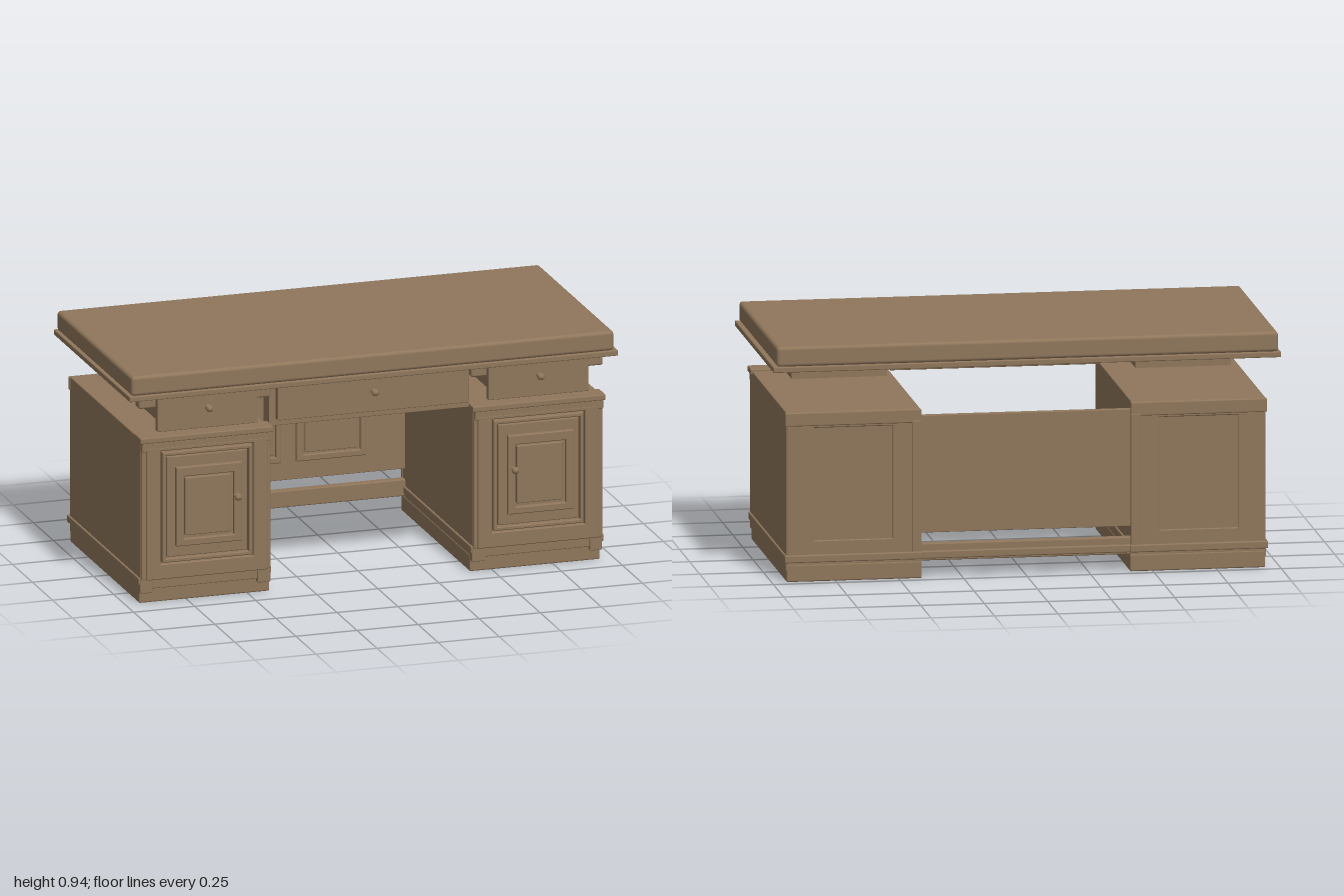
import * as THREE from 'three';
import { RoundedBoxGeometry } from 'three/addons/geometries/RoundedBoxGeometry.js';

export function createModel() {
  const desk = new THREE.Group();
  desk.name = 'desk';
  const wood = new THREE.MeshStandardMaterial({ color: 0x8f765b });
  wood.name = 'walnut brown';

  function add(name, geometry, parent = desk) {
    const mesh = new THREE.Mesh(geometry, wood);
    mesh.name = name;
    parent.add(mesh);
    return mesh;
  }

  // Block given by its limits, with softly rounded edges (r = 0 for sharp)
  function block(name, [x0, x1], [y0, y1], [z0, z1], r = 0.004, parent = desk) {
    const w = x1 - x0, h = y1 - y0, d = z1 - z0;
    const g = r > 0 ? new RoundedBoxGeometry(w, h, d, 2, r) : new THREE.BoxGeometry(w, h, d);
    g.translate((x0 + x1) / 2, (y0 + y1) / 2, (z0 + z1) / 2);
    return add(name, g, parent);
  }

  // Rectangular frame in the xy plane: outer limits, inner limits, z limits
  function frame(name, [ox0, ox1], [oy0, oy1], [ix0, ix1], [iy0, iy1], [z0, z1], parent = desk) {
    const b = 0.003;
    const rect = (P, x0, x1, y0, y1) => new P()
      .moveTo(x0, y0).lineTo(x1, y0).lineTo(x1, y1).lineTo(x0, y1).closePath();
    const shape = rect(THREE.Shape, ox0 + b, ox1 - b, oy0 + b, oy1 - b);
    shape.holes.push(rect(THREE.Path, ix0 - b, ix1 + b, iy0 - b, iy1 + b));
    const g = new THREE.ExtrudeGeometry(shape, {
      depth: z1 - z0 - 2 * b, bevelThickness: b, bevelSize: b, bevelSegments: 1,
    });
    g.translate(0, 0, z0 + b);
    return add(name, g, parent);
  }

  // Turned knob pointing to +z
  function knob(name, x, y, z, parent = desk) {
    const profile = [[0, 0], [0.011, 0], [0.011, 0.004], [0.006, 0.009], [0.006, 0.014],
      [0.011, 0.018], [0.0145, 0.026], [0.0125, 0.034], [0.007, 0.039], [0, 0.041]]
      .map(([r, h]) => new THREE.Vector2(r, h));
    const g = new THREE.LatheGeometry(profile, 20);
    g.rotateX(Math.PI / 2);
    g.translate(x, y, z);
    return add(name, g, parent);
  }

  // Table top and the thin lip below it
  block('tableTop', [-0.99, 0.985], [0.86, 0.94], [-0.492, 0.446], 0.014);
  block('tableTopLip', [-1, 1], [0.84, 0.862], [-0.5, 0.452], 0.004);

  // Centre drawer and the apron behind it
  block('centreDrawerFront', [-0.39, 0.39], [0.705, 0.842], [0.41, 0.44], 0.003);
  knob('centreDrawerKnob', 0, 0.79, 0.44);
  block('centreApron', [-0.41, 0.41], [0.67, 0.842], [0.322, 0.39], 0.003);

  // Each side: pedestal with door, drawer above it. Inner side at low |x|.
  for (const s of [-1, 1]) {
    const side = new THREE.Group();
    side.name = s > 0 ? 'leftPedestal' : 'rightPedestal';
    desk.add(side);
    const X = (a, b) => (s > 0 ? [a, b] : [-b, -a]);
    const part = (name, x, y, z, r) => block(name, X(...x), y, z, r, side);
    const ring = (name, ox, oy, ix, iy, z) => frame(name, X(...ox), oy, X(...ix), iy, z, side);

    // Cabinet body and plinth
    part('cabinet', [0.415, 0.945], [0.1, 0.675], [-0.463, 0.417], 0.004);
    part('plinth', [0.41, 0.943], [0.002, 0.07], [-0.465, 0.395], 0.006);
    part('plinthStep', [0.425, 0.935], [0.06, 0.102], [-0.463, 0.407], 0.004);
    part('outerRunner', [0.895, 0.946], [0.046, 0.11], [-0.463, 0.417], 0.004);
    part('innerRunner', [0.412, 0.465], [0.046, 0.11], [-0.463, 0.417], 0.004);
    part('outerBaseMoulding', [0.9, 0.952], [0.08, 0.11], [-0.48, 0.415], 0.005);
    part('innerBaseMoulding', [0.408, 0.46], [0.08, 0.11], [-0.48, 0.415], 0.005);
    part('backBaseMoulding', [0.408, 0.952], [0.08, 0.11], [-0.481, -0.455], 0.005);

    // Front frame, cap moulding and corner details
    ring('frontFrame', [0.43, 0.925], [0.104, 0.64], [0.488, 0.868], [0.165, 0.625], [0.41, 0.438]);
    part('capMoulding', [0.408, 0.952], [0.661, 0.685], [0.36, 0.442], 0.005);
    part('capUnderMoulding', [0.418, 0.944], [0.625, 0.664], [0.4, 0.437], 0.005);
    for (const x of [[0.416, 0.436], [0.92, 0.943]]) {
      part('cornerPost', x, [0.104, 0.63], [0.4, 0.428], 0.004);
    }

    // Door: rim, panel, raised frame and field
    ring('doorRim', [0.494, 0.862], [0.171, 0.619], [0.508, 0.848], [0.186, 0.604], [0.41, 0.441]);
    part('doorPanel', [0.514, 0.842], [0.191, 0.599], [0.41, 0.434], 0.004);
    ring('doorRaisedFrame', [0.545, 0.813], [0.24, 0.56], [0.576, 0.782], [0.268, 0.522], [0.443, 0.465]);
    part('doorField', [0.585, 0.773], [0.278, 0.512], [0.425, 0.452], 0.004);
    knob('doorKnob', s * 0.567, 0.425, 0.46, side);

    // Back of the cabinet: cap, framed panel, inner corner post
    part('backCap', [0.412, 0.949], [0.62, 0.674], [-0.474, -0.455], 0.005);
    ring('backFrame', [0.42, 0.943], [0.1, 0.635], [0.525, 0.835], [0.165, 0.612], [-0.471, -0.455]);
    part('backCornerPost', [0.412, 0.45], [0.1, 0.63], [-0.476, -0.455], 0.005);

    // Drawer: front, tray and supporting rail
    part('drawerFront', [0.472, 0.882], [0.705, 0.842], [0.41, 0.44], 0.003);
    part('drawerFloor', [0.49, 0.865], [0.735, 0.745], [-0.103, 0.412], 0);
    for (const x of [[0.49, 0.503], [0.852, 0.865]]) {
      part('drawerSide', x, [0.74, 0.824], [-0.103, 0.412], 0);
    }
    part('drawerBack', [0.49, 0.865], [0.74, 0.824], [-0.105, -0.092], 0);
    part('drawerRail', [0.41, 0.95], [0.796, 0.835], [0.361, 0.414], 0.008);
    knob('drawerKnob', s * 0.678, 0.79, 0.44, side);
  }

  // Modesty panel with two framed fields on its front
  block('modestyPanel', [-0.42, 0.42], [0.18, 0.645], [-0.455, -0.43], 0.003);
  for (const [a, b] of [[-0.38, -0.095], [-0.032, 0.252]]) {
    frame('modestyFrame', [a, b], [0.255, 0.575], [a + 0.028, b - 0.022], [0.28, 0.55], [-0.432, -0.415]);
    block('modestyField', [a + 0.036, b - 0.03], [0.288, 0.542], [-0.435, -0.421], 0.003);
  }

  // Stretcher between the pedestals
  block('stretcher', [-0.42, 0.42], [0.07, 0.138], [-0.46, -0.425], 0.005);
  block('stretcherMoulding', [-0.415, 0.415], [0.08, 0.11], [-0.474, -0.45], 0.005);

  return desk;
}
